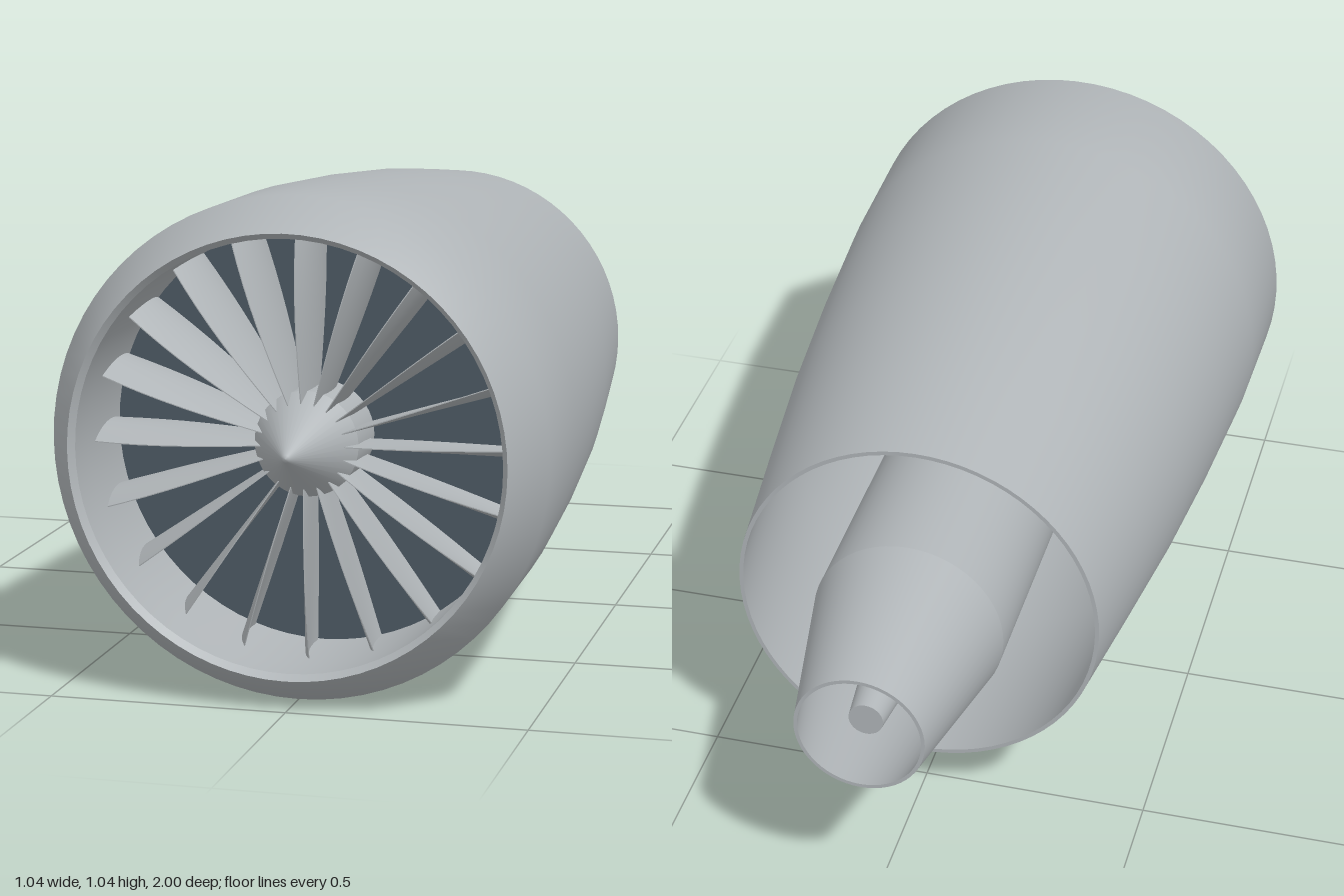
import * as THREE from 'three';

const AXIS_Y = 0.52;
const BLADES = 20;

export function createModel() {
  const metal = new THREE.MeshStandardMaterial({ color: 0xb0b5b8 });
  metal.name = 'grey metal';
  const dark = new THREE.MeshStandardMaterial({ color: 0x4c5862 });
  dark.name = 'dark slate';

  const model = new THREE.Group();
  model.name = 'jetEngine';
  const engine = new THREE.Group();
  engine.name = 'engine';
  engine.position.y = AXIS_Y;
  model.add(engine);

  const add = (name, geometry, material, parent = engine) => {
    const mesh = new THREE.Mesh(geometry, material);
    mesh.name = name;
    parent.add(mesh);
    return mesh;
  };

  // Turns a [radius, z] profile round the engine axis; list it from back to front for outward faces
  const turn = (profile, segments = 72) =>
    new THREE.LatheGeometry(profile.map(([r, z]) => new THREE.Vector2(r, z)), segments).rotateX(Math.PI / 2);

  // Nacelle: outer skin, intake duct, rear duct and the two lips
  const skin = [[0.402, -0.56], [0.437, -0.28], [0.47, 0], [0.496, 0.3], [0.515, 0.6], [0.52, 0.9], [0.455, 1]];
  const innerWall = [[0.443, 0.985], [0.445, 0.9], [0.446, 0.68], [0.455, 0.3], [0.455, 0], [0.425, -0.28], [0.393, -0.56]];
  add('nacelleSkin', turn(skin), metal);
  add('nacelleInnerWall', turn(innerWall), metal);
  add('intakeLip', turn([[0.455, 1], [0.443, 0.985]]), metal);
  add('nacelleRearLip', turn([[0.393, -0.56], [0.402, -0.56]]), metal);

  // Dark bulkhead behind the fan
  add('fanBackplate', new THREE.CylinderGeometry(0.446, 0.446, 0.02, 72).rotateX(Math.PI / 2).translate(0, 0, 0.69), dark);

  // Spinner cone and hub
  add('spinner', turn([[0.11, 0.7], [0.11, 0.83]], 40), metal);
  add('spinnerCone', turn([[0.11, 0.83], [0.008, 0.985], [0, 0.987]], 40), metal);

  // Fan blade: a thin slab twisted more towards the tip, tapered at its edges
  const blade = new THREE.BoxGeometry(1, 1, 1, 1, 8, 6);
  const p = blade.attributes.position;
  for (let i = 0; i < p.count; i++) {
    const t = p.getY(i) + 0.5;
    const c = p.getZ(i);
    const chord = 0.12 + 0.05 * Math.sin(t * Math.PI * 0.8);
    const z = c * chord;
    const twist = 0.04 + 0.11 * t;
    const thickness = 0.008 * (1 - 3 * c * c);
    const camber = 0.012 * (1 - 4 * c * c) * t;
    p.setXYZ(i, p.getX(i) * thickness - z * twist + camber, 0.075 + 0.37 * t, 0.8 + z - 0.015 * t * t);
  }
  blade.computeVertexNormals();
  const fan = new THREE.Group();
  fan.name = 'fan';
  engine.add(fan);
  for (let i = 0; i < BLADES; i++) {
    add('fanBlade', blade, metal, fan).rotation.z = (i / BLADES) * Math.PI * 2;
  }

  // Core casing, tapered exhaust nozzle and its hollow inside
  add('coreCasing', turn([[0.21, -0.63], [0.21, 0.68]], 56), metal);
  add('exhaustNozzle', turn([[0.14, -1], [0.21, -0.63]], 56), metal);
  add('nozzleInnerWall', turn([[0.2, -0.63], [0.132, -1]], 56), metal);
  add('nozzleLip', turn([[0.132, -1], [0.14, -1]], 56), metal);
  add('nozzleBulkhead', new THREE.CircleGeometry(0.205, 56).rotateY(Math.PI).translate(0, 0, -0.63), metal);

  // Exhaust plug inside the nozzle
  add('exhaustPlug', new THREE.CylinderGeometry(0.07, 0.037, 0.32, 32).rotateX(Math.PI / 2).translate(0, 0, -0.79), metal);

  return model;
}
